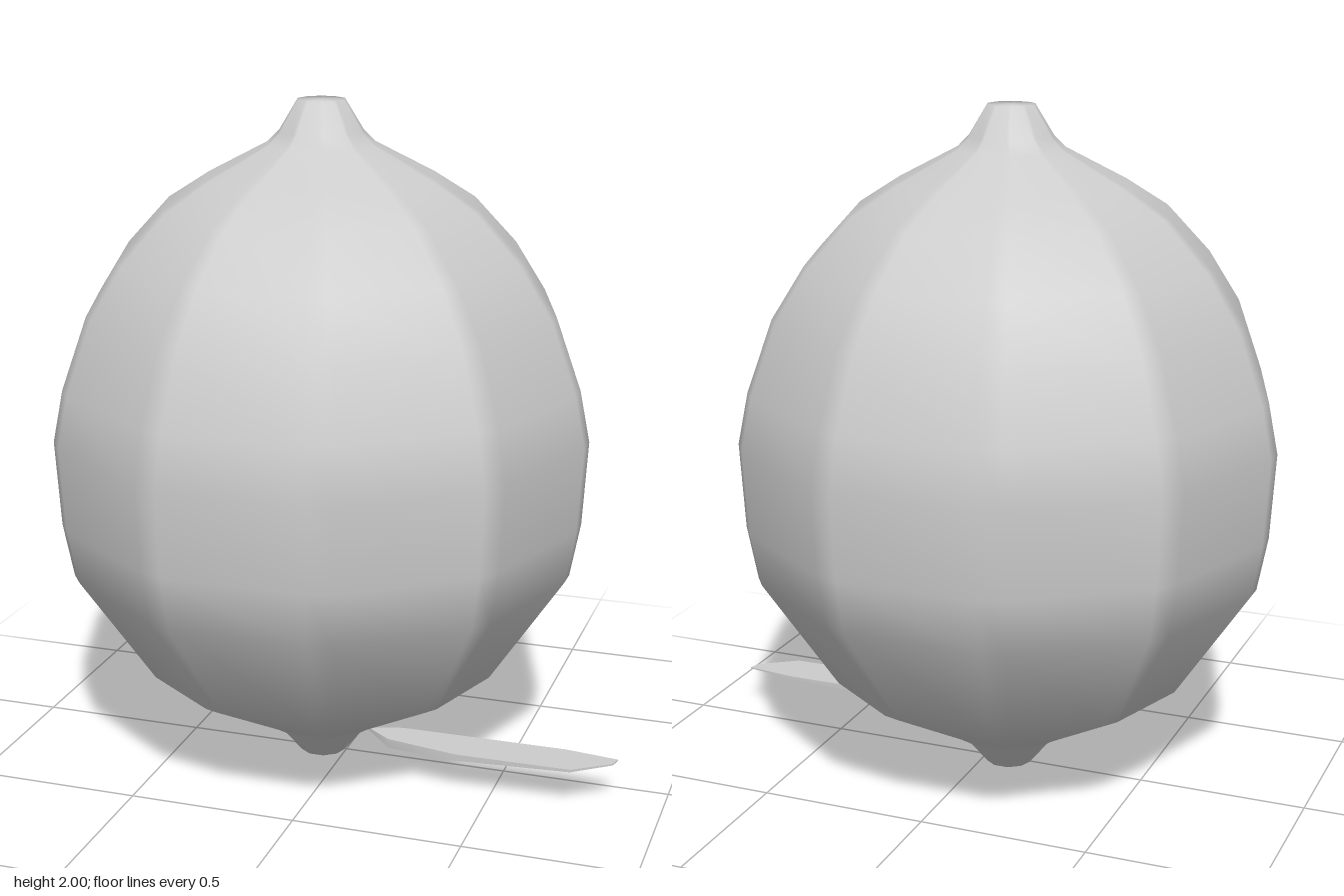
import * as THREE from 'three';
import { mergeVertices, toCreasedNormals } from 'three/addons/utils/BufferGeometryUtils.js';

const SIDES = 10;
const CENTRE_X = -0.075;

// Ten-sided body: a lathe whose columns are paired into narrow bevels at each corner
function bodyGeometry() {
  const profile = [
    [0, 0], [0.07, 0], [0.135, 0.08], [0.22, 0.135], [0.53, 0.31], [0.75, 0.64],
    [0.78, 0.8], [0.795, 1.05], [0.765, 1.2], [0.69, 1.41], [0.595, 1.56],
    [0.465, 1.7], [0.34, 1.78], [0.16, 1.875], [0.125, 1.91], [0.07, 2], [0, 2],
  ].map(([r, y]) => new THREE.Vector2(r, y));
  const lathe = new THREE.LatheGeometry(profile, SIDES * 2);
  const pos = lathe.attributes.position;
  const step = (Math.PI * 2) / SIDES;
  const bevel = 0.045;
  for (let i = 0; i < pos.count; i++) {
    const column = Math.floor(i / profile.length) % (SIDES * 2);
    const r = profile[i % profile.length].x;
    const corner = (Math.floor(column / 2) + 0.5) * step;
    const a = corner + (column % 2 ? bevel : -bevel);
    pos.setX(i, r * Math.sin(a));
    pos.setZ(i, r * Math.cos(a));
  }
  lathe.deleteAttribute('normal');
  lathe.deleteAttribute('uv');
  const geometry = mergeVertices(lathe, 1e-4);
  geometry.computeVertexNormals();
  return geometry;
}

// Thin leaf, thickest near the stem and tapering to its tip
function leafGeometry() {
  const outline = [
    [0.1, 0.09], [0.2, 0.06], [0.7, 0.055], [0.86, 0.075],
    [0.85, 0.11], [0.74, 0.185], [0.4, 0.19], [0.18, 0.15],
  ];
  const shape = new THREE.Shape(outline.map(([x, z]) => new THREE.Vector2(x, -z)));
  const geometry = new THREE.ExtrudeGeometry(shape, { depth: 1, bevelEnabled: false });
  geometry.rotateX(-Math.PI / 2);
  const pos = geometry.attributes.position;
  for (let i = 0; i < pos.count; i++) {
    const x = pos.getX(i);
    const thickness = x < 0.15 ? 0.008 : 0.004 + 0.024 * (0.86 - x) / 0.68;
    pos.setY(i, 0.126 - (1 - pos.getY(i)) * thickness);
  }
  return toCreasedNormals(geometry, 0.5);
}

export function createModel() {
  const model = new THREE.Group();
  const grey = new THREE.MeshStandardMaterial({ color: 0xcccccc });
  grey.name = 'pale grey';

  const add = (name, geometry, x = 0, y = 0, z = 0) => {
    const mesh = new THREE.Mesh(geometry, grey);
    mesh.name = name;
    mesh.position.set(x, y, z);
    model.add(mesh);
    return mesh;
  };

  add('fruitBody', bodyGeometry(), CENTRE_X);
  add('leaf', leafGeometry());

  // Small crumpled scar beside the top tip
  const scar = new THREE.Group();
  scar.name = 'scar';
  for (let i = 0; i < 3; i++) {
    const lump = add('scarLump', new THREE.IcosahedronGeometry(0.026, 0),
      -0.21 + (i % 2) * 0.015, 1.862, (i - 1) * 0.032);
    lump.rotation.set(i, i * 2, 0.4);
    lump.scale.set(1, 0.7, 1);
    scar.add(lump);
  }
  model.add(scar);
  return model;
}
